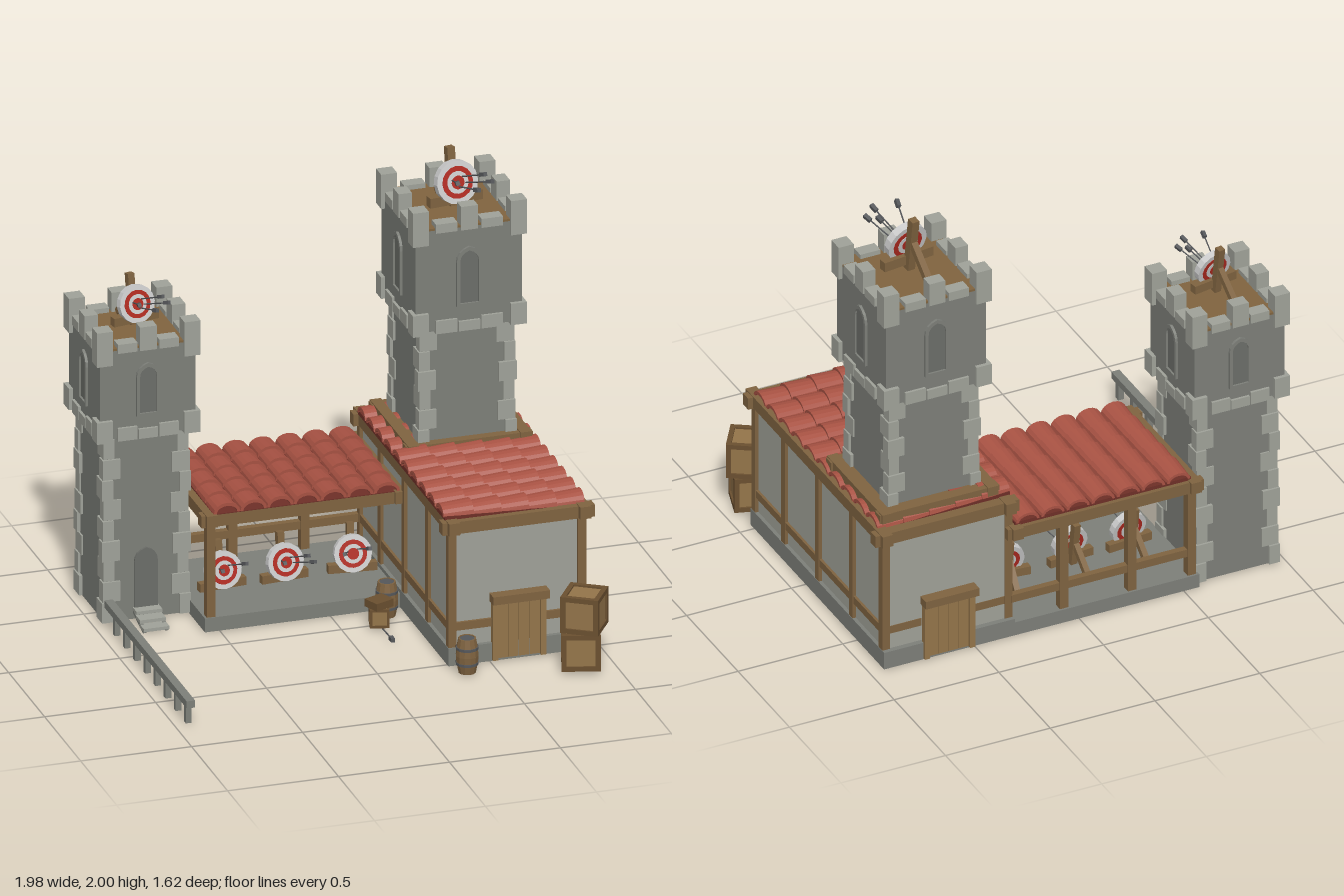
import * as THREE from 'three';

const mat = (color, side = THREE.FrontSide) => new THREE.MeshStandardMaterial({ color, flatShading: true, side });
const M = {
  stone: mat(0x7d7f79), block: mat(0xa0a299), dark: mat(0x6c6e69), plaster: mat(0xa0a198), wood: mat(0x7f6340),
  plank: mat(0x94754a), floor: mat(0x80643f), tile: mat(0xa85243), tileDark: mat(0x6e2f27), white: mat(0xd0d0cc),
  red: mat(0xb02a20), iron: mat(0x55575a), crate: mat(0x6b5030),
};

function add(parent, name, geo, m, x = 0, y = 0, z = 0) {
  const o = new THREE.Mesh(geo, m);
  o.name = name;
  o.position.set(x, y, z);
  parent.add(o);
  return o;
}
function group(parent, name, x = 0, y = 0, z = 0, ry = 0) {
  const g = new THREE.Group();
  g.name = name;
  g.position.set(x, y, z);
  g.rotation.y = ry;
  parent.add(g);
  return g;
}
// box given by its limits
const box = (p, name, m, x0, x1, y0, y1, z0, z1) => add(p, name,
  new THREE.BoxGeometry(x1 - x0, y1 - y0, z1 - z0), m, (x0 + x1) / 2, (y0 + y1) / 2, (z0 + z1) / 2);
// square or round bar between two points
function bar(p, name, m, a, b, w, round = false) {
  const A = new THREE.Vector3(...a), B = new THREE.Vector3(...b), len = A.distanceTo(B);
  const geo = round ? new THREE.CylinderGeometry(w / 2, w / 2, len, 5) : new THREE.BoxGeometry(w, len, w);
  const o = add(p, name, geo, m);
  o.position.lerpVectors(A, B, 0.5);
  o.quaternion.setFromUnitVectors(new THREE.Vector3(0, 1, 0), B.sub(A).normalize());
  return o;
}

// pointed-arch outline standing on y = 0
function archPath(P, w, h) {
  const s = new P();
  s.moveTo(-w / 2, 0);
  s.lineTo(w / 2, 0);
  s.lineTo(w / 2, h - w * 0.6);
  s.quadraticCurveTo(w / 2, h - w * 0.15, 0, h);
  s.quadraticCurveTo(-w / 2, h - w * 0.15, -w / 2, h - w * 0.6);
  return s;
}
const slab = (shape, depth, seg = 4) => new THREE.ExtrudeGeometry(shape, { depth, bevelEnabled: false, curveSegments: seg });

function archWindow(p, w, h, y, z) {
  const s = archPath(THREE.Shape, w, h), hole = archPath(THREE.Path, w * 0.72, h - 0.03);
  s.holes.push(new THREE.Path(hole.getPoints(4).map(v => new THREE.Vector2(v.x, v.y + 0.012))));
  add(p, 'windowFrame', slab(s, 0.012), M.stone, 0, y, z);
  add(p, 'windowPanel', slab(archPath(THREE.Shape, w * 0.8, h - 0.02), 0.003), M.dark, 0, y + 0.005, z);
}

function arrow(p, a, b) {
  bar(p, 'arrowShaft', M.iron, a, b, 0.007, true);
  const t = a.map((v, i) => v + (b[i] - v) * 0.82);
  bar(p, 'arrowFletching', M.iron, t, b, 0.018);
}

// round target on a braced stand, origin at the disc centre
function target(parent, x, y, z, ry, k, arrows) {
  const g = group(parent, 'target', x, y, z, ry);
  g.scale.setScalar(k);
  const disc = group(g, 'targetDisc');
  disc.rotation.x = Math.PI / 2 - 0.22;
  [[0.097, M.white], [0.072, M.red], [0.05, M.white], [0.03, M.red]].forEach(([r, m], i) =>
    add(disc, 'targetRing', new THREE.CylinderGeometry(r, r, 0.036 + i * 0.004, 16), m));
  bar(g, 'targetPost', M.wood, [0, -0.12, -0.03], [0, 0.14, -0.065], 0.036);
  bar(g, 'targetBrace', M.wood, [0, 0.02, -0.06], [0, -0.11, -0.18], 0.03);
  box(g, 'targetCrossbeam', M.wood, -0.125, 0.125, -0.1, -0.055, -0.03, 0.01);
  [[-0.02, 0.01, -0.08, 0.08], [0.02, 0.02, 0.05, 0.1], [0.03, -0.01, 0.085, 0.06], [0, -0.02, 0.02, 0.03]]
    .slice(0, arrows).forEach(([ax, ay, bx, by]) => arrow(g, [ax, ay, 0], [bx, by, 0.19]));
}

function tower(root, name, o) {
  const g = group(root, name, o.x, 0, o.z);
  const { s, h } = o, b = s - 0.015, hb = h - 0.018;
  box(g, 'towerShaft', M.stone, -b, b, o.y0, o.headY + 0.03, -b, b);
  box(g, 'towerHead', M.stone, -hb, hb, o.headY + 0.01, o.floor - 0.01, -hb, hb);
  box(g, 'towerFloor', M.floor, -hb, hb, o.floor - 0.01, o.floor, -hb, hb);
  // corner stones with alternating lengths
  const n = Math.round((o.headY - o.y0) / 0.095), step = (o.headY - o.y0) / n;
  for (let i = 0; i < n; i++) for (const sx of [-1, 1]) for (const sz of [-1, 1]) {
    const lx = i % 2 ? 0.08 : 0.05, lz = i % 2 ? 0.05 : 0.08, e = s - (i % 3) * 0.004;
    add(g, 'cornerStone', new THREE.BoxGeometry(lx, step * 0.96, lz), M.block,
      sx * (e - lx / 2), o.y0 + step * (i + 0.5), sz * (e - lz / 2));
  }
  // four sides: base course, battlements and window
  const w = 2 * h / 5, t = 0.066;
  for (let k = 0; k < 4; k++) {
    const f = group(g, 'towerSide', 0, 0, 0, k * Math.PI / 2);
    for (let i = 1; i < 5; i++) {
      const x = -h + w * (i + 0.5), corner = i === 4, tall = corner || i === 2;
      const x0 = corner ? h - 0.072 : x - w * 0.47, x1 = corner ? h : x + w * 0.47;
      const z0 = h - (corner ? 0.072 : t), z1 = corner ? h : h - 0.006;
      box(f, 'courseStone', M.block, x0, x1, o.headY, o.headY + (corner ? 0.1 : tall ? 0.045 : 0.06), z0, z1);
      const m0 = tall && !corner ? x - 0.038 : x0, m1 = tall && !corner ? x + 0.038 : x1;
      box(f, 'battlement', M.block, m0, m1, o.floor - (corner ? 0.07 : 0.02), tall ? o.top : o.floor + 0.022, z0, z1);
    }
    archWindow(f, o.win[0], o.win[1], o.win[2], hb);
  }
  return g;
}

// rows of overlapping half-round tiles, running down local +z
function tiledRoof(root, name, x, y, z, ry, cols, rows, cw, rl, pitch) {
  const g = group(group(root, name, x, y, z, ry), 'roofSlope');
  g.rotation.x = pitch;
  const W = cols * cw, L = rows * rl;
  box(g, 'roofDeck', M.tileDark, -W / 2, W / 2, -0.012, 0.006, -L / 2, L / 2);
  const s = new THREE.Shape();
  s.absellipse(0, 0, cw * 0.49, 0.044, 0, Math.PI, false);
  s.absellipse(0, 0, cw * 0.38, 0.03, Math.PI, 0, true);
  const geo = slab(s, rl * 1.08, 4), p = geo.attributes.position;
  for (let i = 0; i < p.count; i++) {
    const k = p.getZ(i) > 0.01 ? 1.08 : 0.88;
    p.setXY(i, p.getX(i) * (k > 1 ? 1.02 : 0.94), p.getY(i) * k + (k > 1 ? 0.006 : 0));
  }
  for (let c = 0; c < cols; c++) for (let r = 0; r < rows; r++)
    add(g, 'roofTile', geo, M.tile, -W / 2 + cw * (c + 0.5), 0.002, -L / 2 + rl * (r - 0.04));
}

function crate(root, x, y, z, ry, a) {
  const g = group(root, 'crate', x, y, z, ry), h = a / 2, w = a * 0.13, c = h - w / 2;
  add(g, 'crateBody', new THREE.BoxGeometry(a * 0.9, a * 0.9, a * 0.9), M.plank, 0, h, 0);
  for (const i of [-1, 1]) for (const j of [-1, 1]) {
    add(g, 'crateEdge', new THREE.BoxGeometry(a, w, w), M.crate, 0, h + i * c, j * c);
    add(g, 'crateEdge', new THREE.BoxGeometry(w, a, w), M.crate, i * c, h, j * c);
    add(g, 'crateEdge', new THREE.BoxGeometry(w, w, a), M.crate, i * c, h + j * c, 0);
  }
}
function barrel(root, x, z) {
  const g = group(root, 'barrel', x, 0.01, z);
  const pts = [[0, 0], [0.038, 0], [0.048, 0.05], [0.05, 0.08], [0.048, 0.11], [0.039, 0.16], [0.033, 0.16], [0.033, 0.15], [0, 0.15]];
  add(g, 'barrelBody', new THREE.LatheGeometry(pts.map(q => new THREE.Vector2(...q)), 12), M.wood);
  add(g, 'barrelLid', new THREE.CylinderGeometry(0.034, 0.034, 0.006, 12), M.iron, 0, 0.154, 0);
  for (const y of [0.045, 0.115]) add(g, 'barrelHoop', new THREE.CylinderGeometry(0.05, 0.05, 0.012, 12), M.iron, 0, y, 0);
}
function door(root, z, ry) {
  const g = group(root, 'door', 0.627, 0, z, ry);
  for (let i = 0; i < 4; i++) box(g, 'doorPlank', M.plank, -0.096 + i * 0.048, -0.05 + i * 0.048, 0.015, 0.28, 0, 0.018);
  for (const s of [-1, 1]) box(g, 'doorJamb', M.plank, s * 0.108 - 0.012, s * 0.108 + 0.012, 0.01, 0.28, 0, 0.03);
  box(g, 'doorLintel', M.wood, -0.128, 0.128, 0.28, 0.318, 0, 0.055);
}
// four crossing beams around a rectangle
function beamRing(root, name, x0, x1, y0, y1, z0, z1, w, over) {
  const g = group(root, name);
  for (const z of [z0, z1 - w]) box(g, 'beam', M.wood, x0 - over, x1 + over, y0, y1, z, z + w);
  for (const x of [x0, x1 - w]) box(g, 'beam', M.wood, x, x + w, y0 + 0.004, y1 + 0.004, z0 - over, z1 + over);
}

export function createModel() {
  const root = new THREE.Group();
  root.name = 'archeryRange';

  // towers with rooftop targets
  const left = tower(root, 'leftTower', { x: -0.765, z: -0.55, y0: 0.01, s: 0.2, headY: 0.865, h: 0.233, floor: 1.295, top: 1.385, win: [0.105, 0.245, 0.97] });
  tower(root, 'rightTower', { x: 0.632, z: -0.42, y0: 0.7, s: 0.222, headY: 1.245, h: 0.257, floor: 1.735, top: 1.825, win: [0.115, 0.275, 1.36] });
  target(root, -0.765, 1.42, -0.5, 0.18, 0.87, 4);
  target(root, 0.632, 1.86, -0.36, 0.13, 1, 4);
  add(left, 'towerDoor', slab(archPath(THREE.Shape, 0.105, 0.3), 0.012), M.dark, 0, 0.04, 0.183);
  for (let i = 0; i < 3; i++) box(left, 'step', M.block, -0.058, 0.058, 0.05 - i * 0.02, 0.065 - i * 0.02, 0.18 + i * 0.05, 0.24 + i * 0.05);
  for (const s of [-1, 1]) bar(left, 'stepSide', M.stone, [s * 0.05, 0.045, 0.19], [s * 0.05, 0.008, 0.33], 0.015);

  // house: plinth, plaster walls and timber frame
  const house = group(root, 'house');
  box(house, 'housePlinth', M.stone, 0.31, 0.935, 0.005, 0.088, -0.77, 0.53);
  box(house, 'houseWalls', M.plaster, 0.327, 0.918, 0.088, 0.65, -0.745, 0.51);
  for (const x of [0.312, 0.896]) {
    for (const z of [-0.75, -0.46, -0.13, 0.2, 0.488]) box(house, 'wallPost', M.wood, x, x + 0.037, 0.088, 0.63, z, z + 0.037);
    box(house, 'sideRail', M.wood, x + 0.003, x + 0.034, 0.163, 0.2, -0.74, 0.51);
  }
  for (const z of [-0.748, 0.492]) for (const [a, b] of [[0.315, 0.51], [0.745, 0.93]])
    box(house, 'endRail', M.wood, a, b, 0.163, 0.2, z, z + 0.03);
  beamRing(house, 'eavesBeams', 0.305, 0.945, 0.62, 0.676, -0.755, 0.535, 0.05, 0.023);
  box(house, 'towerFooting', M.wood, 0.365, 0.9, 0.66, 0.728, -0.69, -0.18);
  beamRing(house, 'footingBeams', 0.355, 0.91, 0.69, 0.734, -0.695, -0.17, 0.05, 0.008);
  door(house, 0.515, 0);
  door(house, -0.755, Math.PI);
  tiledRoof(house, 'houseRoof', 0.615, 0.676, -0.1, Math.PI / 2, 10, 5, 0.121, 0.125, 0.04);

  // open shed
  const shed = group(root, 'shed');
  box(shed, 'shedPlinth', M.stone, -0.57, 0.32, 0.005, 0.07, -0.77, -0.14);
  for (const x of [-0.56, -0.275, 0.05]) box(shed, 'rearPost', M.wood, x, x + 0.04, 0.07, 0.51, -0.76, -0.72);
  box(shed, 'frontPost', M.wood, -0.56, -0.52, 0.07, 0.51, -0.185, -0.145);
  box(shed, 'rearRail', M.wood, -0.54, 0.32, 0.163, 0.2, -0.755, -0.725);
  beamRing(shed, 'shedBeams', -0.57, 0.33, 0.497, 0.552, -0.78, -0.13, 0.05, 0.018);
  tiledRoof(shed, 'shedRoof', -0.115, 0.556, -0.445, 0, 7, 5, 0.12, 0.126, 0.02);
  [[-0.4, 0.1, 2], [-0.12, 0.1, 3], [0.185, -0.1, 2]].forEach(([x, ry, n]) => target(shed, x, 0.16, -0.42, ry, 0.86, n));

  // low fence
  const fence = group(root, 'fence', -0.935, 0, 0);
  box(fence, 'fenceRail', M.stone, -0.019, 0.019, 0.085, 0.118, -0.36, 0.79);
  for (let i = 0; i < 8; i++) add(fence, 'fencePost', new THREE.BoxGeometry(0.026, 0.09, 0.026), M.stone, 0, 0.047, -0.24 + i * 0.141);

  // crates, barrels and a loose arrow
  crate(root, 0.855, 0.01, 0.69, -0.3, 0.168);
  crate(root, 0.87, 0.178, 0.69, -0.58, 0.168);
  crate(root, 0.16, 0.015, 0.03, -0.25, 0.085);
  add(root, 'crateLid', new THREE.BoxGeometry(0.095, 0.035, 0.08), M.crate, 0.16, 0.118, 0.03).rotation.y = 0.4;
  barrel(root, 0.225, -0.065);
  barrel(root, 0.365, 0.62);
  arrow(root, [0.163, 0.009, 0.0], [0.168, 0.009, 0.2]);
  return root;
}
